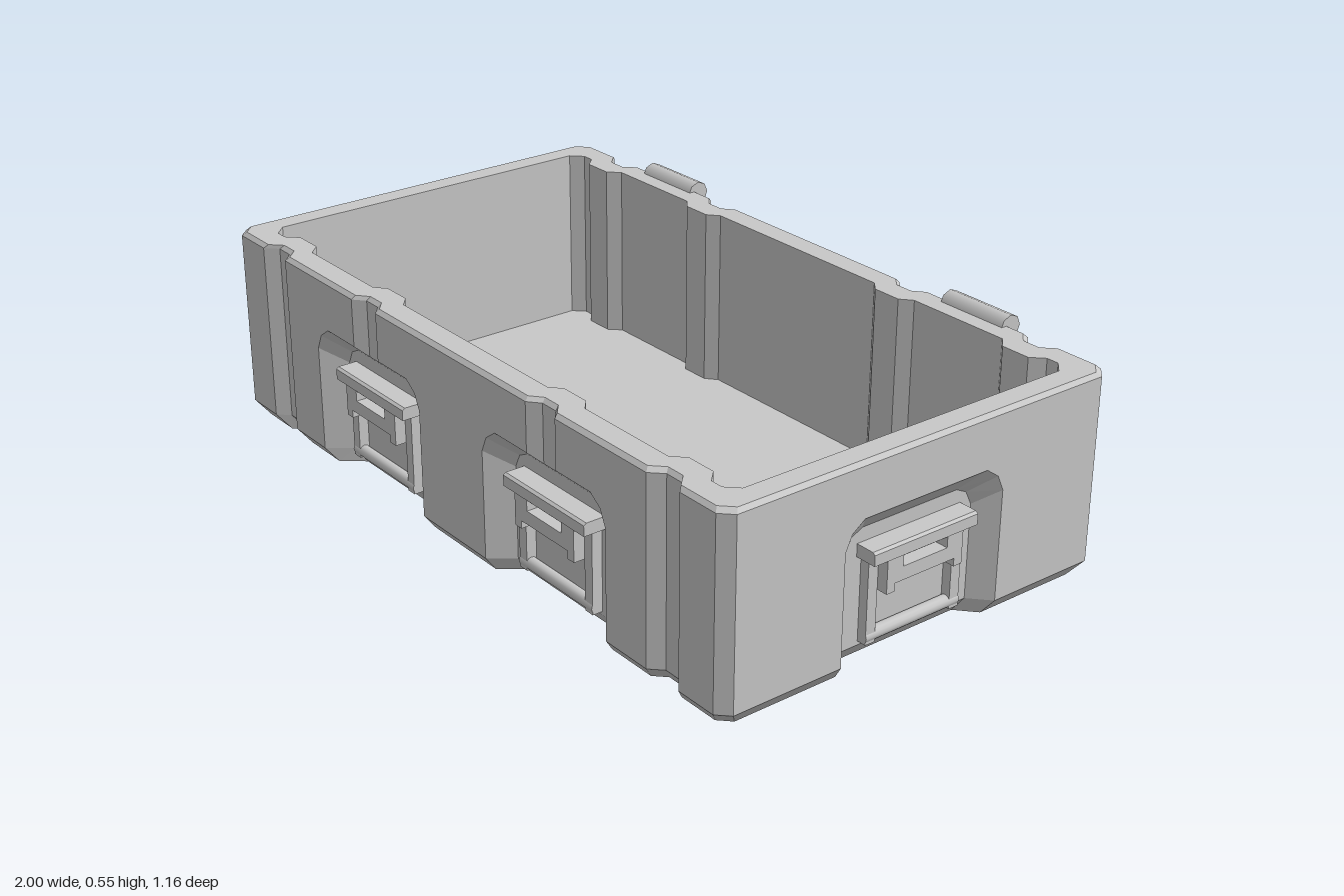
import * as THREE from 'three';

const W = 0.994, H = 0.561, CHAMFER = 0.03, Z0 = 0.019; // half width, half depth, corner cut, body centre
const Y_LOW = 0.04, Y_HIGH = 0.51, Y_TOP = 0.52, FLOOR = 0.045;

// Point on wall k (front, left, back, right): u along the wall, y up, d inward.
// The bottom and the rim are drawn in slightly.
function place(k, u, y, d) {
  const out = (k % 2 ? W : H) - d;
  const [x, z] = [[u, out], [out, -u], [-u, -out], [-out, u]][k];
  const inset = y < Y_LOW ? 0.03 * (1 - y / Y_LOW) : Math.max(0, y - Y_HIGH);
  return new THREE.Vector3(x * (1 - inset / W), y, z * (1 - inset / H) + Z0);
}

const trap = (c, outer, inner, d) => [[c - outer, 0], [c - inner, d], [c + inner, d], [c + outer, 0]];
const isLong = (k) => k % 2 === 0;
const centres = (k) => (isLong(k) ? [-0.365, 0.365] : [0]);
const recessDepth = (k) => (isLong(k) ? 0.06 : 0.05);
const GROOVE = 0.055, GROOVE_IN = 0.025, SHORT_D = 0.025;

// Plan line of one wall at the rim (widen > 0 for the inside)
function topLine(k, widen = 0) {
  if (!isLong(k)) return [];
  const g = (c, d) => trap(c, GROOVE + widen, GROOVE_IN + widen, d);
  return [...g(-0.795, 0.03), ...g(-0.365, SHORT_D), ...g(0.365, SHORT_D), ...g(0.795, 0.03)];
}

// Plan line of one wall at the base
function baseLine(k) {
  const r = centres(k).flatMap((c) => trap(c, 0.233, 0.187, recessDepth(k)));
  if (!isLong(k)) return r;
  return [...trap(-0.795, GROOVE, GROOVE_IN, 0.03), ...r, ...trap(0.795, GROOVE, GROOVE_IN, 0.03)];
}

// Closed loop round all four walls
function ring(line, y, inner = false) {
  const pts = [];
  for (let k = 0; k < 4; k++) {
    const tAlong = inner ? (isLong(k) ? 0.066 : 0.07) : 0;
    const tIn = inner ? (isLong(k) ? 0.07 : 0.066) : 0;
    const e = (isLong(k) ? W : H) - CHAMFER - tAlong;
    for (const [u, d] of [[-e, 0], ...line(k), [e, 0]]) {
      const p = place(k, u, inner ? 0.3 : y, d + tIn);
      pts.push(p.setY(y));
    }
  }
  return pts;
}

function buildBody() {
  const pos = [];
  const poly = (pts) => {
    for (let i = 1; i < pts.length - 1; i++)
      for (const p of [pts[0], pts[i], pts[i + 1]]) pos.push(p.x, p.y, p.z);
  };
  const strip = (a, b, closed = false) => {
    for (let i = 0; i < a.length - (closed ? 0 : 1); i++) {
      const j = (i + 1) % a.length;
      poly([a[i], a[j], b[j], b[i]]);
    }
  };
  const cap = (loop, up) => {
    const tris = THREE.ShapeUtils.triangulateShape(loop.map((p) => new THREE.Vector2(p.x, p.z)), []);
    for (const t of tris) {
      const [a, b, c] = t.map((i) => loop[i]);
      const ny = b.clone().sub(a).cross(c.clone().sub(a)).y;
      poly(ny > 0 === up ? [a, b, c] : [a, c, b]);
    }
  };

  // Base, lower chamfer, rim, inside walls and floor
  const base = ring(baseLine, 0);
  cap(base, false);
  strip(base, ring(baseLine, Y_LOW), true);
  const rim = ring(topLine, Y_TOP);
  strip(ring(topLine, Y_HIGH), rim, true);
  const wide = (k) => topLine(k, 0.015);
  const innerRim = ring(wide, Y_TOP, true), innerFloor = ring(wide, FLOOR, true);
  strip(rim, innerRim, true);
  strip(innerRim, innerFloor, true);
  cap(innerFloor, true);

  for (let k = 0; k < 4; k++) {
    const e = (isLong(k) ? W : H) - CHAMFER;
    const at = ([u, y, d = 0]) => place(k, u, y, d);
    const column = (line) => strip(line.map(([u, d]) => at([u, Y_LOW, d])), line.map(([u, d]) => at([u, Y_HIGH, d])));

    // Corner face
    const e2 = (isLong(k) ? H : W) - CHAMFER, n = (k + 1) % 4;
    poly([at([e, Y_LOW]), place(n, -e2, Y_LOW, 0), place(n, -e2, Y_HIGH, 0), at([e, Y_HIGH])]);

    // Full height grooves
    if (isLong(k)) {
      column([[-e, 0], ...trap(-0.795, GROOVE, GROOVE_IN, 0.03)]);
      column([...trap(0.795, GROOVE, GROOVE_IN, 0.03), [e, 0]]);
    }

    // Latch recesses with the surrounding wall
    const D = recessDepth(k), g = isLong(k) ? GROOVE : 0;
    const yg = 0.385 - 0.055 * SHORT_D / D;
    for (const c of centres(k)) {
      const [a, b] = isLong(k) ? (c < 0 ? [-0.74, 0] : [0, 0.74]) : [-e, e];
      const outerL = [[-0.233, Y_LOW], [-0.233, 0.32], [-0.215, 0.36], [-0.18, 0.385], [-g, 0.385]];
      const innerL = [[-0.187, Y_LOW], [-0.187, 0.28], [-0.17, 0.315], [-0.14, 0.33], [-g, 0.33]];
      const mid = g ? [[-GROOVE_IN, yg, SHORT_D], [GROOVE_IN, yg, SHORT_D]] : [];
      const mirror = (l) => l.map(([u, y]) => [-u, y]).reverse();
      const shift = (l) => l.map(([u, y, d]) => at([u + c, y, d]));
      const outer = shift([...outerL, ...mid, ...mirror(outerL)]);
      const inner = shift([...innerL, ...mid.map(([u]) => [u, 0.33]), ...mirror(innerL)].map(([u, y]) => [u, y, D]));
      strip(inner, outer);
      poly([...inner].reverse());
      poly([at([a, Y_HIGH]), at([a, Y_LOW]), ...shift(outerL), at([c - g, Y_HIGH])]);
      poly([at([b, Y_HIGH]), at([c + g, Y_HIGH]), ...shift(mirror(outerL)), at([b, Y_LOW])]);
      // Short groove above the recess
      if (g) {
        const lower = [[-g, 0.385, 0], ...mid, [g, 0.385, 0]];
        strip(shift(lower), shift(lower.map(([u, , d]) => [u, Y_HIGH, d])));
      }
    }
  }
  const geo = new THREE.BufferGeometry();
  geo.setAttribute('position', new THREE.Float32BufferAttribute(pos, 3));
  geo.computeVertexNormals();
  return geo;
}

function buildLatch(material) {
  const latch = new THREE.Group();
  latch.name = 'latch';
  const add = (name, geo) => {
    const m = new THREE.Mesh(geo, material);
    m.name = name;
    latch.add(m);
  };
  const shape = (pts) => new THREE.Shape(pts.map(([x, y]) => new THREE.Vector2(x, y)));

  // Frame with a round bottom bar
  for (const s of [-1, 1])
    add('latchSideBar', new THREE.BoxGeometry(0.028, 0.22, 0.03).translate(s * 0.126, 0.16, -0.036));
  add('latchBottomBar', new THREE.CylinderGeometry(0.016, 0.016, 0.28, 12).rotateZ(Math.PI / 2).translate(0, 0.066, -0.034));

  // Slotted flap with two tabs
  const flap = shape([[-0.112, 0.268], [-0.112, 0.18], [-0.088, 0.18], [-0.088, 0.2],
    [0.088, 0.2], [0.088, 0.18], [0.112, 0.18], [0.112, 0.268]]);
  flap.holes.push(shape([[-0.065, 0.234], [0.065, 0.234], [0.065, 0.261], [-0.065, 0.261]]));
  add('latchFlap', new THREE.ExtrudeGeometry(flap, { depth: 0.057, bevelEnabled: false }).translate(0, 0, -0.049));

  // Sloping hood
  const hood = shape([[-0.052, 0.263], [0.01, 0.263], [0.01, 0.29], [0.003, 0.295], [-0.052, 0.295]]);
  add('latchHood', new THREE.ExtrudeGeometry(hood, { depth: 0.306, bevelEnabled: false })
    .rotateY(-Math.PI / 2).translate(0.153, 0, 0));
  return latch;
}

export function createModel() {
  const model = new THREE.Group();
  model.name = 'openCase';
  const grey = new THREE.MeshStandardMaterial({ color: 0xc8c8c8 });
  grey.name = 'grey';

  const body = new THREE.Mesh(buildBody(), grey);
  body.name = 'caseBody';
  model.add(body);

  for (let k = 0; k < 4; k++) {
    for (const c of centres(k)) {
      const latch = buildLatch(grey);
      latch.position.copy(place(k, c, 0.3, isLong(k) ? 0.012 : 0.004)).setY(0);
      latch.rotation.y = k * Math.PI / 2;
      model.add(latch);
    }
  }

  // Hinge barrels on the back rim
  for (const s of [-1, 1]) {
    const geo = new THREE.CylinderGeometry(0.032, 0.032, 0.2, 8).rotateZ(Math.PI / 2);
    const hinge = new THREE.Mesh(geo, grey);
    hinge.name = 'hinge';
    hinge.position.set(s * 0.58, 0.513, -0.546);
    model.add(hinge);
  }
  return model;
}
